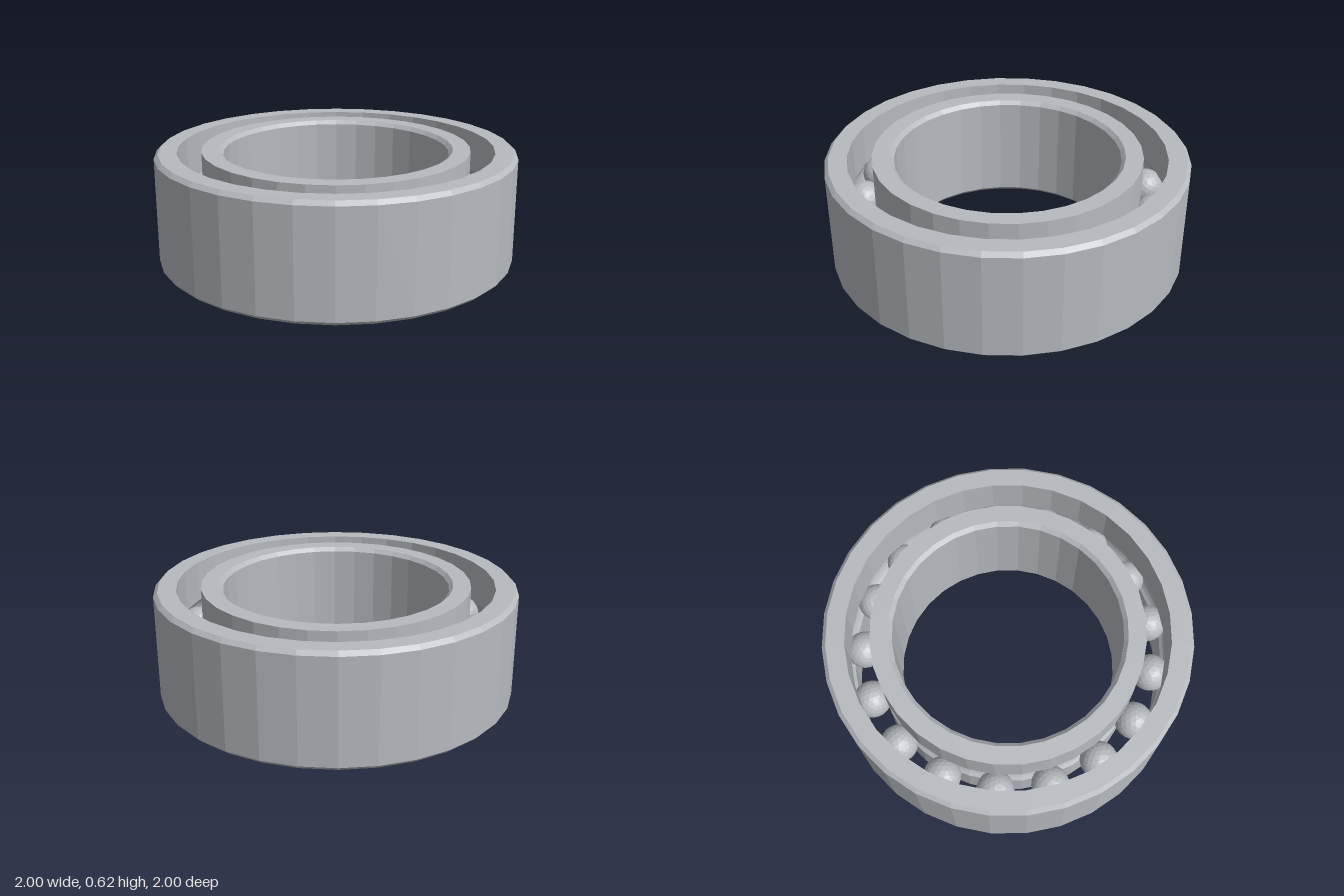
import * as THREE from 'three';

const HEIGHT = 0.625, MID = HEIGHT / 2;
const PITCH = 0.81, BALL_R = 0.104, BALLS = 17;
const CHAMFER = 0.022, SIDES = 32;

// Arc of the ball groove where it cuts a wall of radius r; dir = 1 runs upwards
function groove(r, dir, steps = 8) {
  const side = Math.sign(r - PITCH);
  const half = Math.acos(Math.abs(r - PITCH) / BALL_R);
  const pts = [];
  for (let i = 0; i <= steps; i++) {
    const a = dir * half * (2 * i / steps - 1);
    pts.push([PITCH + side * BALL_R * Math.cos(a), MID + BALL_R * Math.sin(a)]);
  }
  return pts;
}

// Closed counter-clockwise profile turned into a faceted ring
function ring(name, profile, material) {
  const pts = [...profile, profile[0]].map(([r, y]) => new THREE.Vector2(r, y));
  const mesh = new THREE.Mesh(new THREE.LatheGeometry(pts, SIDES), material);
  mesh.name = name;
  return mesh;
}

export function createModel() {
  const group = new THREE.Group();
  group.name = 'ballBearing';
  const steel = new THREE.MeshStandardMaterial({ color: 0xb6babf, flatShading: true });
  steel.name = 'steel';

  // Outer race: chamfered outside, groove on the inside wall
  const R = 1, wall = 0.877;
  group.add(ring('outerRace', [
    [wall, 0], [R - CHAMFER, 0], [R, CHAMFER], [R, HEIGHT - CHAMFER],
    [R - CHAMFER, HEIGHT], [wall, HEIGHT], ...groove(wall, -1),
  ], steel));

  // Inner race: chamfered bore, groove on the outside wall
  const bore = 0.625, hub = 0.744;
  group.add(ring('innerRace', [
    [hub, 0], ...groove(hub, 1), [hub, HEIGHT], [bore + CHAMFER, HEIGHT],
    [bore, HEIGHT - CHAMFER], [bore, CHAMFER], [bore + CHAMFER, 0],
  ], steel));

  // Balls spaced evenly between the races
  const balls = new THREE.Group();
  balls.name = 'balls';
  const ballGeometry = new THREE.IcosahedronGeometry(BALL_R, 3);
  for (let i = 0; i < BALLS; i++) {
    const a = i / BALLS * Math.PI * 2;
    const ball = new THREE.Mesh(ballGeometry, steel);
    ball.name = 'ball';
    ball.position.set(PITCH * Math.cos(a), MID, PITCH * Math.sin(a));
    ball.rotation.y = -a;
    balls.add(ball);
  }
  group.add(balls);
  return group;
}
